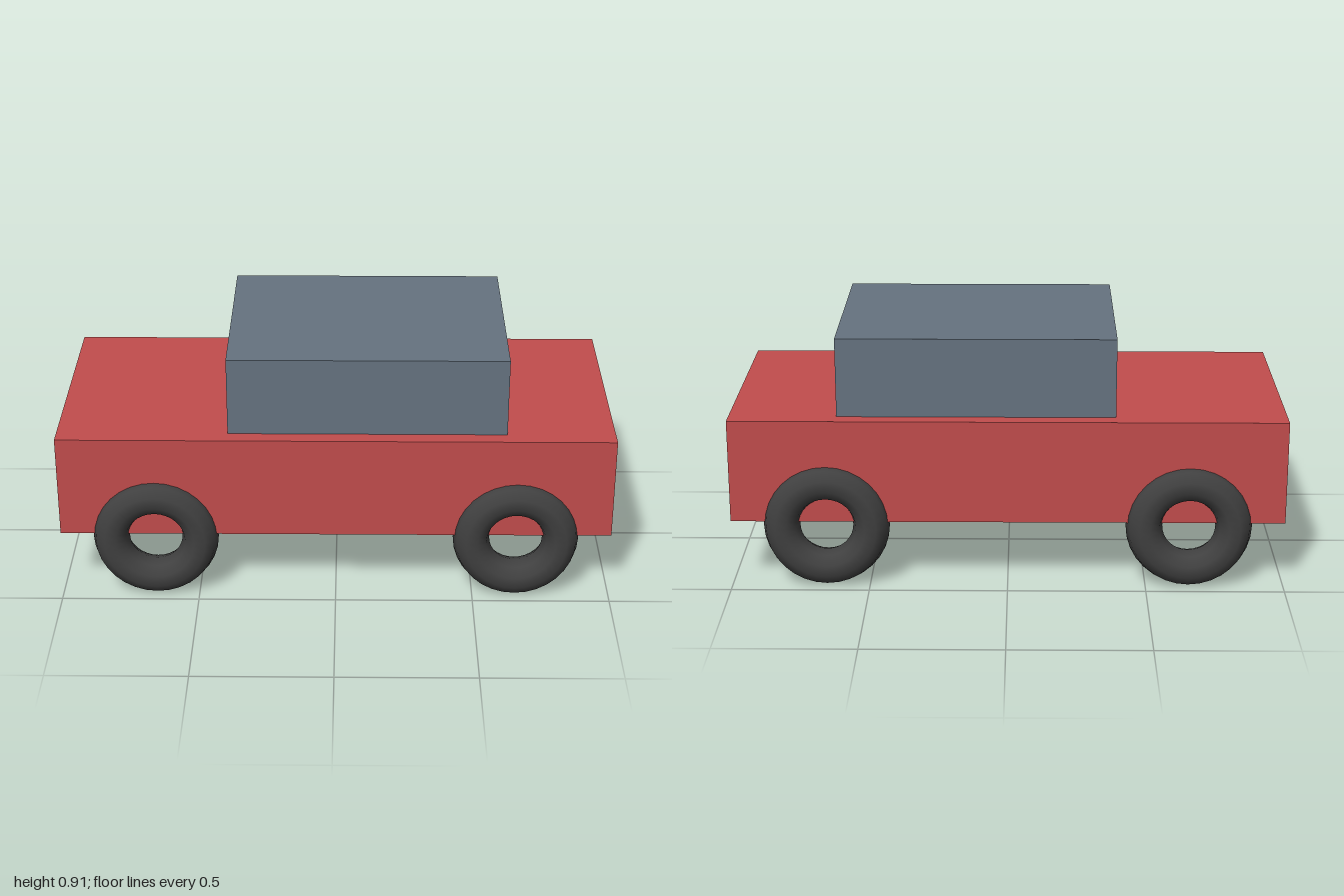
import * as THREE from 'three';

function material(name, color) {
  const m = new THREE.MeshStandardMaterial({ color });
  m.name = name;
  return m;
}

export function createModel() {
  const car = new THREE.Group();
  car.name = 'car';

  const red = material('red paint', 0xc24d4d);
  const slate = material('slate cabin', 0x667380);
  const rubber = material('dark rubber', 0x404040);

  function add(name, geometry, mat, x, y, z) {
    const mesh = new THREE.Mesh(geometry, mat);
    mesh.name = name;
    mesh.position.set(x, y, z);
    car.add(mesh);
  }

  // Body slab, with the cabin set towards +x on top of it
  add('body', new THREE.BoxGeometry(2, 0.38, 0.884), red, 0, 0.433, 0);
  add('cabin', new THREE.BoxGeometry(1, 0.289, 0.77), slate, 0.113, 0.7675, 0);

  // Open ring tyres, half sunk into the body sides
  const tyre = new THREE.TorusGeometry(0.162, 0.0662, 10, 32);
  for (const [end, x] of [['left', 0.654], ['right', -0.654]]) {
    for (const [side, z] of [['front', 0.425], ['back', -0.425]]) {
      add(`${side} ${end} tyre`, tyre, rubber, x, 0.228, z);
    }
  }

  return car;
}
